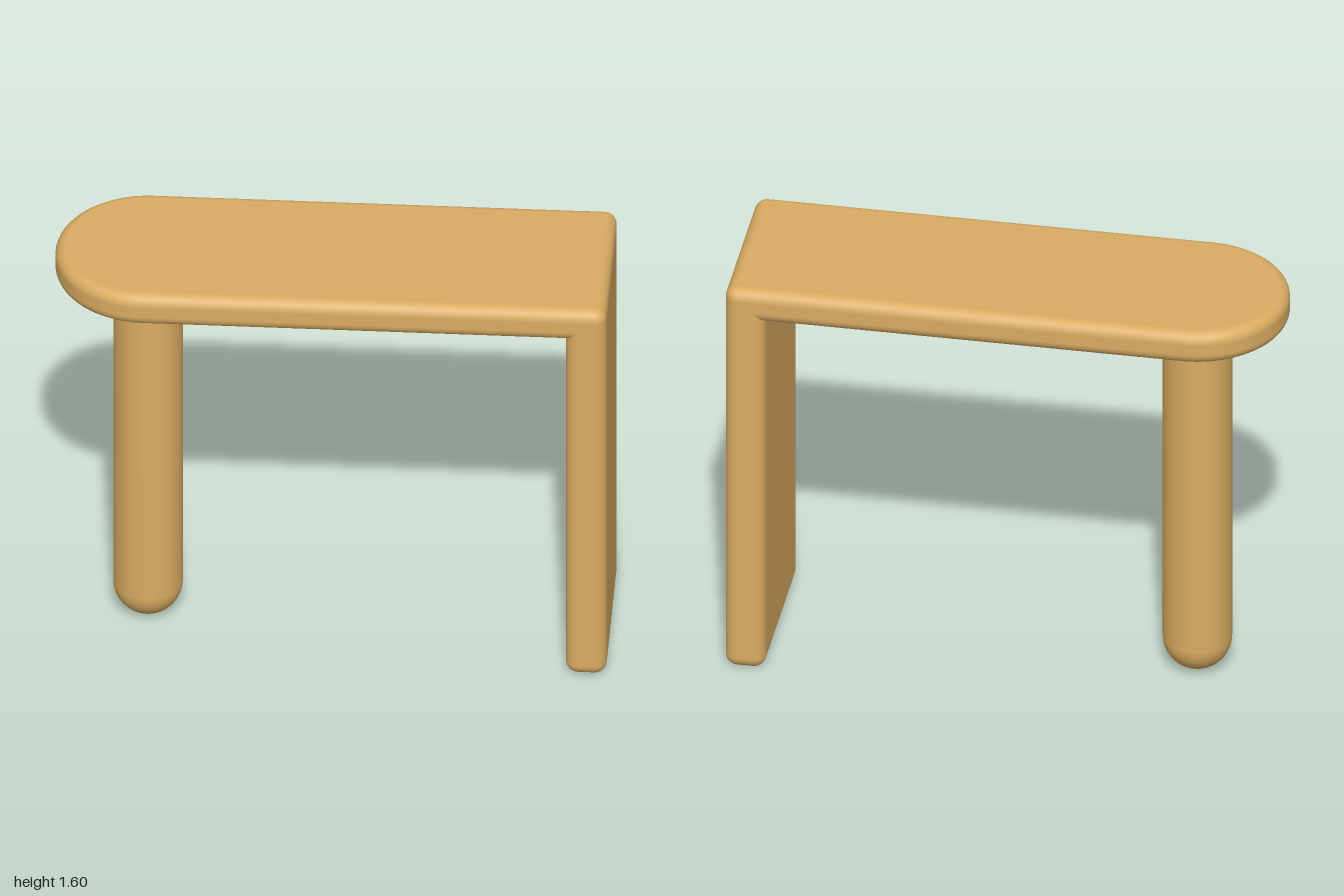
import * as THREE from 'three';
import { RoundedBoxGeometry } from 'three/addons/geometries/RoundedBoxGeometry.js';

const HEIGHT = 1.6, HALF_DEPTH = 0.333, ROUND = 0.045;
const TOP_THICK = 0.13, PANEL_THICK = 0.147;
const ARC_X = -1 + HALF_DEPTH; // centre of the semicircular end

// Table top: a slab with one semicircular end and rounded edges
function tableTopGeometry() {
  const r = HALF_DEPTH - ROUND, end = 1 - 2 * ROUND - 0.005;
  const shape = new THREE.Shape();
  shape.moveTo(end, -r);
  shape.lineTo(end, r);
  shape.lineTo(ARC_X, r);
  shape.absarc(ARC_X, 0, r, Math.PI / 2, Math.PI * 1.5, false);
  shape.closePath();
  const geo = new THREE.ExtrudeGeometry(shape, {
    depth: TOP_THICK - 2 * ROUND, curveSegments: 32,
    bevelEnabled: true, bevelThickness: ROUND, bevelSize: ROUND, bevelSegments: 6,
  });
  geo.rotateX(-Math.PI / 2);
  geo.translate(0, HEIGHT - TOP_THICK + ROUND, 0);

  // Smooth normals: point away from the nearest spot on the inset core
  const pos = geo.attributes.position, nor = geo.attributes.normal;
  const p = new THREE.Vector3(), core = new THREE.Vector3();
  for (let i = 0; i < pos.count; i++) {
    p.fromBufferAttribute(pos, i);
    const axisX = Math.max(p.x, ARC_X);
    core.set(p.x - axisX, 0, p.z).clampLength(0, r);
    core.x += axisX;
    core.y = THREE.MathUtils.clamp(p.y, HEIGHT - TOP_THICK + ROUND, HEIGHT - ROUND);
    p.sub(core).normalize();
    nor.setXYZ(i, p.x, p.y, p.z);
  }
  return geo;
}

// Round leg with a domed foot
function legGeometry() {
  const radius = 0.125, steps = 10, profile = [];
  for (let i = 0; i <= steps; i++) {
    const a = (i / steps) * Math.PI / 2;
    profile.push(new THREE.Vector2(radius * Math.sin(a), radius * (1 - Math.cos(a))));
  }
  profile.push(new THREE.Vector2(radius, HEIGHT - TOP_THICK + 0.02));
  return new THREE.LatheGeometry(profile, 40);
}

export function createModel() {
  const model = new THREE.Group();
  model.name = 'desk';
  const wood = new THREE.MeshStandardMaterial({ color: 0xd9ab62 });
  wood.name = 'warm wood';

  const add = (name, geometry, x = 0, y = 0) => {
    const mesh = new THREE.Mesh(geometry, wood);
    mesh.name = name;
    mesh.position.set(x, y, 0);
    model.add(mesh);
  };

  add('tableTop', tableTopGeometry());
  // Full-height panel that carries the square end
  add('endPanel', new RoundedBoxGeometry(PANEL_THICK, HEIGHT, 2 * HALF_DEPTH, 6, ROUND),
    1 - PANEL_THICK / 2, HEIGHT / 2);
  add('roundLeg', legGeometry(), ARC_X);
  return model;
}
